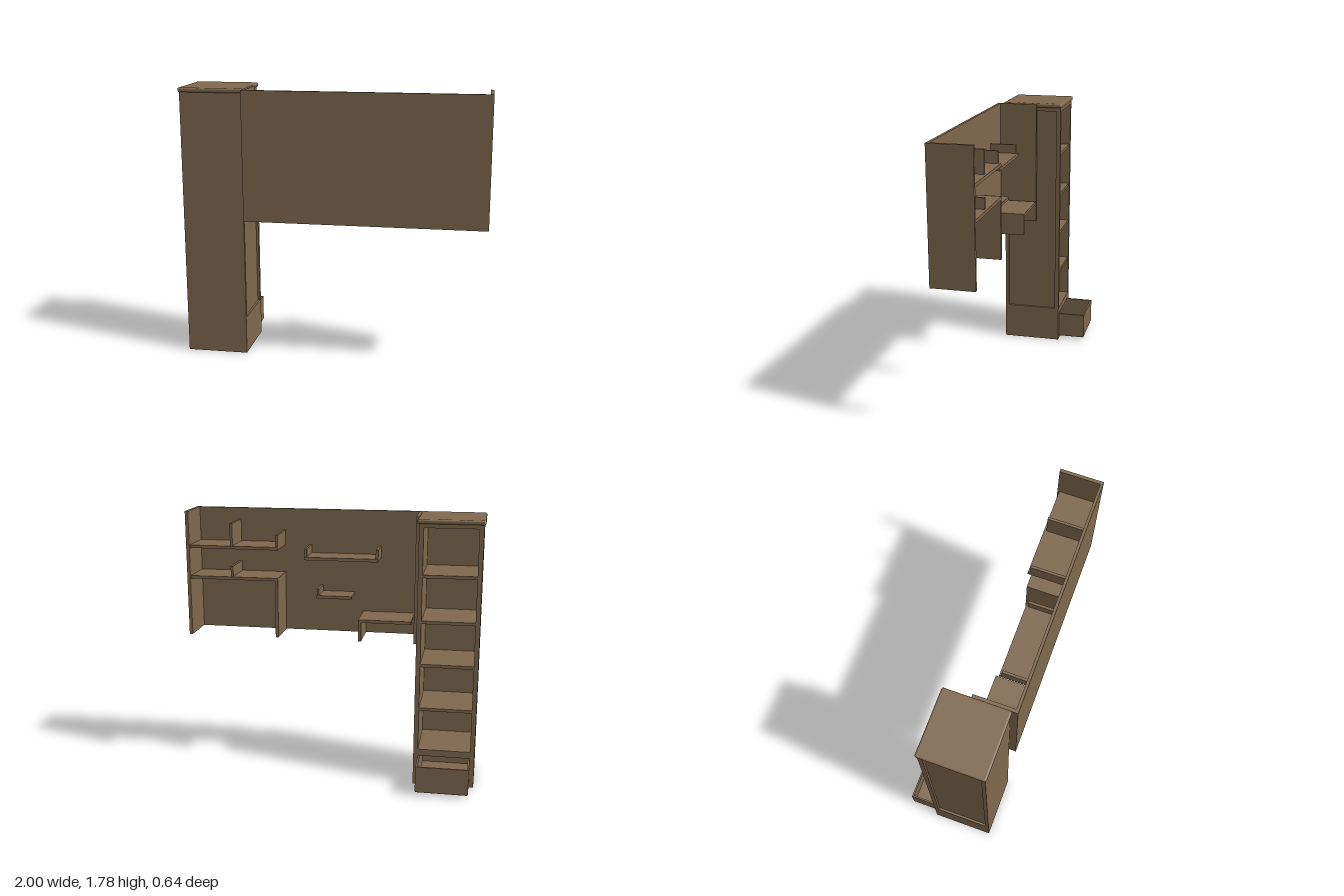
import * as THREE from 'three';
import { RoundedBoxGeometry } from 'three/addons/geometries/RoundedBoxGeometry.js';

export function createModel() {
  const model = new THREE.Group();
  const wood = new THREE.MeshStandardMaterial({ color: 0x80694e });
  wood.name = 'brownWood';

  // Adds a board spanning the given [min, max] ranges; radius rounds its edges.
  function board(parent, name, [x0, x1], [y0, y1], [z0, z1], radius = 0) {
    const size = [x1 - x0, y1 - y0, z1 - z0];
    const geometry = radius
      ? new RoundedBoxGeometry(...size, 3, radius)
      : new THREE.BoxGeometry(...size);
    const mesh = new THREE.Mesh(geometry, wood);
    mesh.name = name;
    mesh.position.set((x0 + x1) / 2, (y0 + y1) / 2, (z0 + z1) / 2);
    parent.add(mesh);
    return mesh;
  }
  function group(name) {
    const g = new THREE.Group();
    g.name = name;
    model.add(g);
    return g;
  }

  // Tall cabinet, open at the back, with recessed side panels
  const cabinet = group('cabinet');
  const L = -0.99, R = -0.585, B = -0.13, F = 0.275, top = 1.76;
  const frame = 0.03;
  board(cabinet, 'cabinetFront', [L, R], [0, top], [F - 0.025, F]);
  board(cabinet, 'cabinetFloor', [L + frame, R - frame], [0, 0.018], [B, F - 0.025]);
  board(cabinet, 'cabinetDeck', [L + frame, R - frame], [0.205, 0.25], [B, F - 0.025]);
  board(cabinet, 'cabinetCeiling', [L + frame, R - frame], [1.73, top], [B, F - 0.025]);
  for (const [x0, x1, inset] of [[L, L + frame, 1], [R - frame, R, -1]]) {
    board(cabinet, 'sideBase', [x0, x1], [0, 0.25], [B, F - 0.025]);
    board(cabinet, 'sideTopRail', [x0, x1], [1.73, top], [B, F - 0.025]);
    board(cabinet, 'sidePost', [x0, x1], [0.25, 1.73], [B, B + frame]);
    const panel = inset > 0 ? [x0 + 0.015, x1] : [x0, x1 - 0.015];
    board(cabinet, 'sidePanel', panel, [0.25, 1.73], [B + frame, F - 0.025]);
  }
  for (const y of [0.54, 0.84, 1.13, 1.43]) {
    board(cabinet, 'cabinetShelf', [L + frame, R - frame], [y - 0.02, y], [B + 0.006, F - 0.025]);
  }
  board(cabinet, 'cabinetTop', [-1, -0.572], [1.755, 1.785], [-0.14, 0.283], 0.012);

  // Drawer pulled out of the cabinet base
  const drawer = group('drawer');
  const dx = [-0.96, -0.615];
  board(drawer, 'drawerBottom', dx, [0.02, 0.045], [-0.32, 0.18], 0.01);
  board(drawer, 'drawerFace', dx, [0.03, 0.2], [-0.32, -0.308]);
  board(drawer, 'drawerEnd', dx, [0.03, 0.2], [0.168, 0.18]);
  board(drawer, 'drawerSide', [dx[0], dx[0] + 0.012], [0.03, 0.2], [-0.308, 0.168]);
  board(drawer, 'drawerSide', [dx[1] - 0.012, dx[1]], [0.03, 0.2], [-0.308, 0.168]);

  // Hanging wall panel with its two full-height ends
  const wall = group('wallUnit');
  const wz = 0.3;
  board(wall, 'wallPanel', [-0.575, 1], [0.93, 1.78], [wz, 0.318]);
  board(wall, 'wallEnd', [-0.575, -0.553], [0.93, 1.78], [0.038, wz]);
  board(wall, 'wallEnd', [0.978, 1], [0.93, 1.78], [0.038, wz]);

  // Wall shelves: x range, height of the upper face, rear edge
  const shelves = [
    [[0.37, 0.978], 1.55, 0.05],
    [[0.37, 0.978], 1.34, 0.05],
    [[-0.3, 0.2], 1.48, 0.105],
    [[-0.12, 0.12], 1.215, 0.13],
    [[-0.535, -0.18], 1.08, 0.038],
  ];
  for (const [x, y, z] of shelves) board(wall, 'wallShelf', x, [y - 0.02, y], [z, wz]);

  // Small dividers on the shelves: left x, y range, rear edge
  const dividers = [
    [0.37, [1.55, 1.63], 0.065],
    [0.683, [1.55, 1.7], 0.065],
    [0.683, [1.34, 1.41], 0.065],
    [-0.3, [1.48, 1.54], 0.12],
    [0.183, [1.48, 1.535], 0.12],
    [0.103, [1.215, 1.257], 0.14],
  ];
  for (const [x, y, z] of dividers) board(wall, 'shelfDivider', [x, x + 0.017], y, [z, wz]);

  // Legs that drop from the lower shelves to the panel's bottom edge
  board(wall, 'shelfLeg', [0.37, 0.39], [0.93, 1.32], [0.05, wz]);
  board(wall, 'shelfLeg', [-0.2, -0.18], [0.93, 1.06], [0.038, wz]);

  return model;
}
